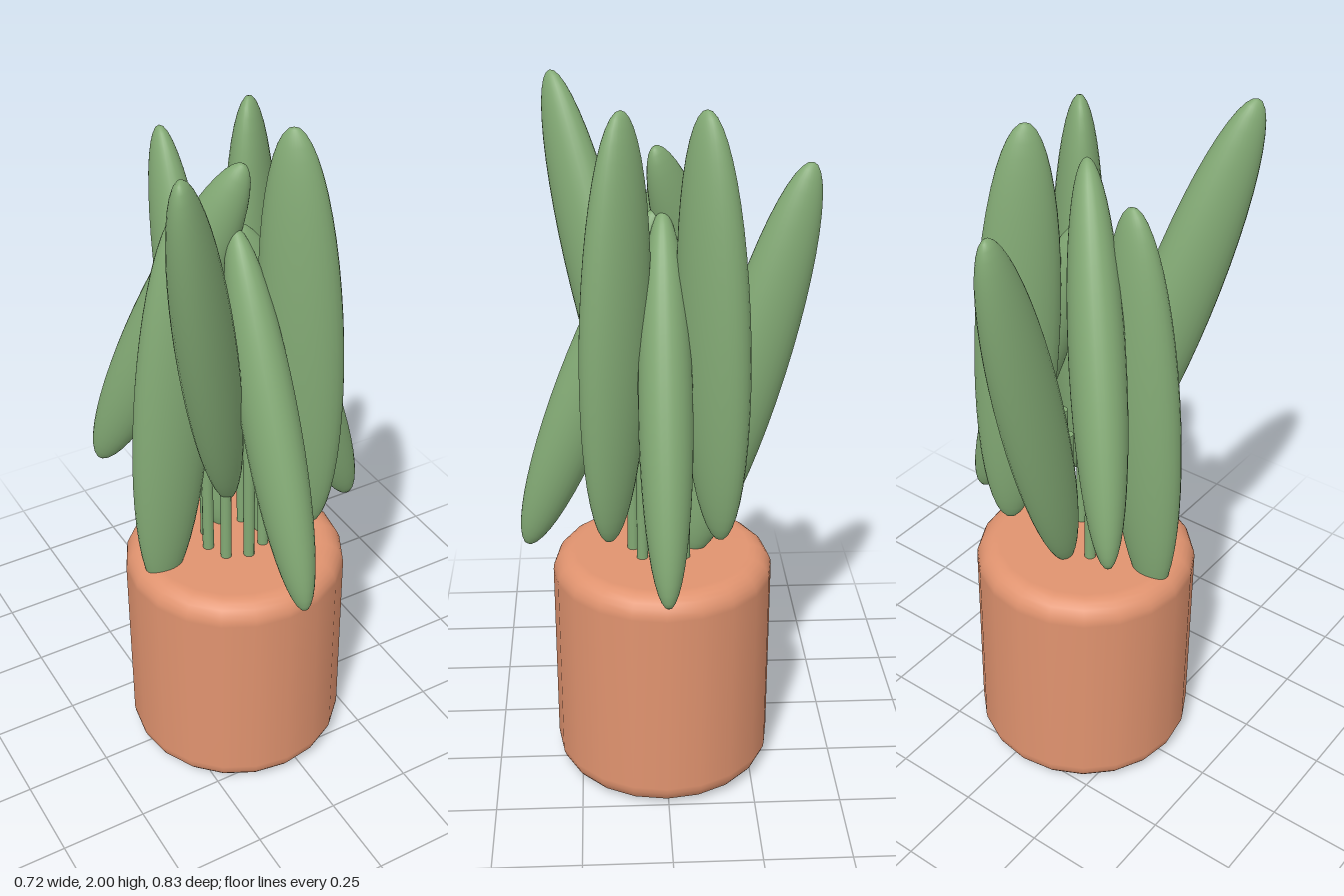
import * as THREE from 'three';

const clay = new THREE.MeshStandardMaterial({ color: 0xe0936f });
const green = new THREE.MeshStandardMaterial({ color: 0x82a974 });
const rad = THREE.MathUtils.degToRad;

// Solid pot with rounded rims
function makePot(radius, height, bevel) {
  const points = [new THREE.Vector2(0, 0)];
  const arc = (cy, from) => {
    for (let i = 0; i <= 6; i++) {
      const a = from + (i / 6) * Math.PI / 2;
      points.push(new THREE.Vector2(radius - bevel + bevel * Math.cos(a), cy + bevel * Math.sin(a)));
    }
  };
  arc(bevel, -Math.PI / 2);
  arc(height - bevel, 0);
  points.push(new THREE.Vector2(0, height));
  const pot = new THREE.Mesh(new THREE.LatheGeometry(points, 20), clay);
  pot.name = 'pot';
  return pot;
}

// Blade: flattened ellipsoid, lean > 0 tips its top outward
const bladeGeometry = new THREE.SphereGeometry(1, 28, 24);
function makeLeaf({ name, angle, out, y, length, lean, depth }) {
  const leaf = new THREE.Group();
  leaf.name = name;
  leaf.rotation.y = rad(angle);
  const blade = new THREE.Mesh(bladeGeometry, green);
  blade.name = 'blade';
  blade.scale.set(depth, length, 0.073);
  blade.position.set(out, y, 0);
  blade.rotation.z = -rad(lean);
  leaf.add(blade);

  // Thin upright stem near the middle of the pot
  const stem = new THREE.Mesh(new THREE.CylinderGeometry(0.016, 0.016, 0.45, 12), green);
  stem.name = 'stem';
  stem.position.set(0.085, 0.875, 0);
  leaf.add(stem);
  return leaf;
}

const leaves = [
  { name: 'leftLeaf', angle: 0, out: 0.2, y: 1.2, length: 0.525, lean: -21, depth: 0.09 },
  { name: 'backLeftLeaf', angle: 45, out: 0.184, y: 1.38, length: 0.59, lean: -3, depth: 0.112 },
  { name: 'backLeaf', angle: 90, out: 0.24, y: 1.24, length: 0.59, lean: 15, depth: 0.1 },
  { name: 'backRightLeaf', angle: 135, out: 0.184, y: 1.38, length: 0.525, lean: -24, depth: 0.095 },
  { name: 'rightLeaf', angle: 180, out: 0.185, y: 1.19, length: 0.59, lean: -5, depth: 0.11 },
  { name: 'frontRightLeaf', angle: 225, out: 0.23, y: 1.437, length: 0.59, lean: 18, depth: 0.1 },
  { name: 'frontLeaf', angle: 270, out: 0.2, y: 1.2, length: 0.525, lean: -21, depth: 0.09 },
  { name: 'frontLeftLeaf', angle: 315, out: 0.184, y: 1.38, length: 0.59, lean: -3, depth: 0.112 },
];

export function createModel() {
  const model = new THREE.Group();
  model.name = 'pottedPlant';
  const plant = new THREE.Group();
  plant.name = 'leaves';
  leaves.forEach((leaf) => plant.add(makeLeaf(leaf)));
  model.add(makePot(0.317, 0.69, 0.065), plant);
  // The pot axis sits slightly off the centre of the whole
  model.children.forEach((part) => part.position.set(-0.052, 0, 0.005));
  return model;
}
